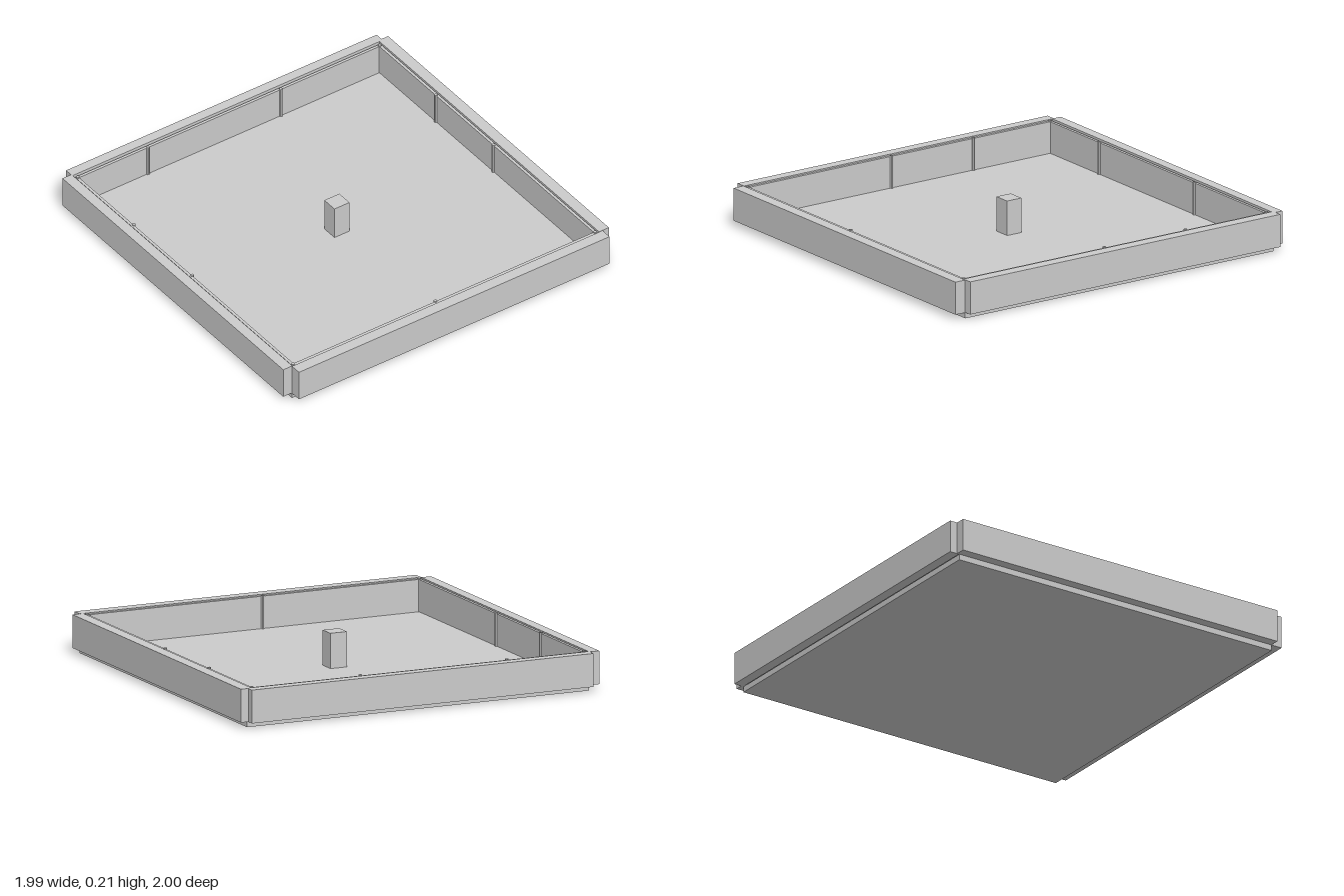
import * as THREE from 'three';

export function createModel() {
  const model = new THREE.Group();
  const grey = new THREE.MeshStandardMaterial({ color: 0xcccccc, flatShading: true });

  const add = (name, geometry) => {
    const mesh = new THREE.Mesh(geometry, grey);
    mesh.name = name;
    model.add(mesh);
    return mesh;
  };
  // Box given by its limits on each axis
  const block = (name, x0, x1, y0, y1, z0, z1) =>
    add(name, new THREE.BoxGeometry(x1 - x0, y1 - y0, z1 - z0))
      .position.set((x0 + x1) / 2, (y0 + y1) / 2, (z0 + z1) / 2);

  const floorY = 0.03, rimY = 0.2, panelY = 0.195;

  // Floor slab
  block('floor', -0.943, 0.95, 0, floorY, -0.945, 0.94);

  // Outer rim boards, leaving a notch at each corner
  block('frontBoard', -0.943, 0.95, floorY, rimY, 0.94, 1);
  block('backBoard', -0.943, 0.95, floorY, rimY, -1, -0.947);
  block('rightBoard', -0.995, -0.94, floorY, rimY, -0.958, 0.938);
  block('leftBoard', 0.93, 0.99, floorY, rimY, -0.958, 0.938);

  // Thin lining just inside the boards
  const [x0, x1, z0, z1, t] = [-0.935, 0.925, -0.935, 0.935, 0.015];
  block('frontLining', x0, x1, floorY, panelY, z1 - t, z1);
  block('backLining', x0, x1, floorY, panelY, z0, z0 + t);
  block('rightLining', x0, x0 + t, floorY, panelY, z0 + t, z1 - t);
  block('leftLining', x1 - t, x1, floorY, panelY, z0 + t, z1 - t);

  // Slim rods: on the lining faces and in the corners
  const rods = [
    [-0.5, z0 + t], [0.31, z0 + t], [-0.055, z1 - t],
    [x0 + t, -0.45], [x0 + t, 0.05], [x1 - t, -0.435], [x1 - t, 0.06],
    [x0 + 0.01, z0 + 0.01], [x1 - 0.01, z0 + 0.01],
    [x0 + 0.01, z1 - 0.01], [x1 - 0.01, z1 - 0.01],
  ];
  const rod = new THREE.CylinderGeometry(0.009, 0.009, rimY - floorY, 8);
  for (const [x, z] of rods) add('rod', rod).position.set(x, (rimY + floorY) / 2, z);

  // Post in the middle of the tray
  block('centrePost', -0.043, 0.048, floorY, 0.21, -0.05, 0.037);

  return model;
}
